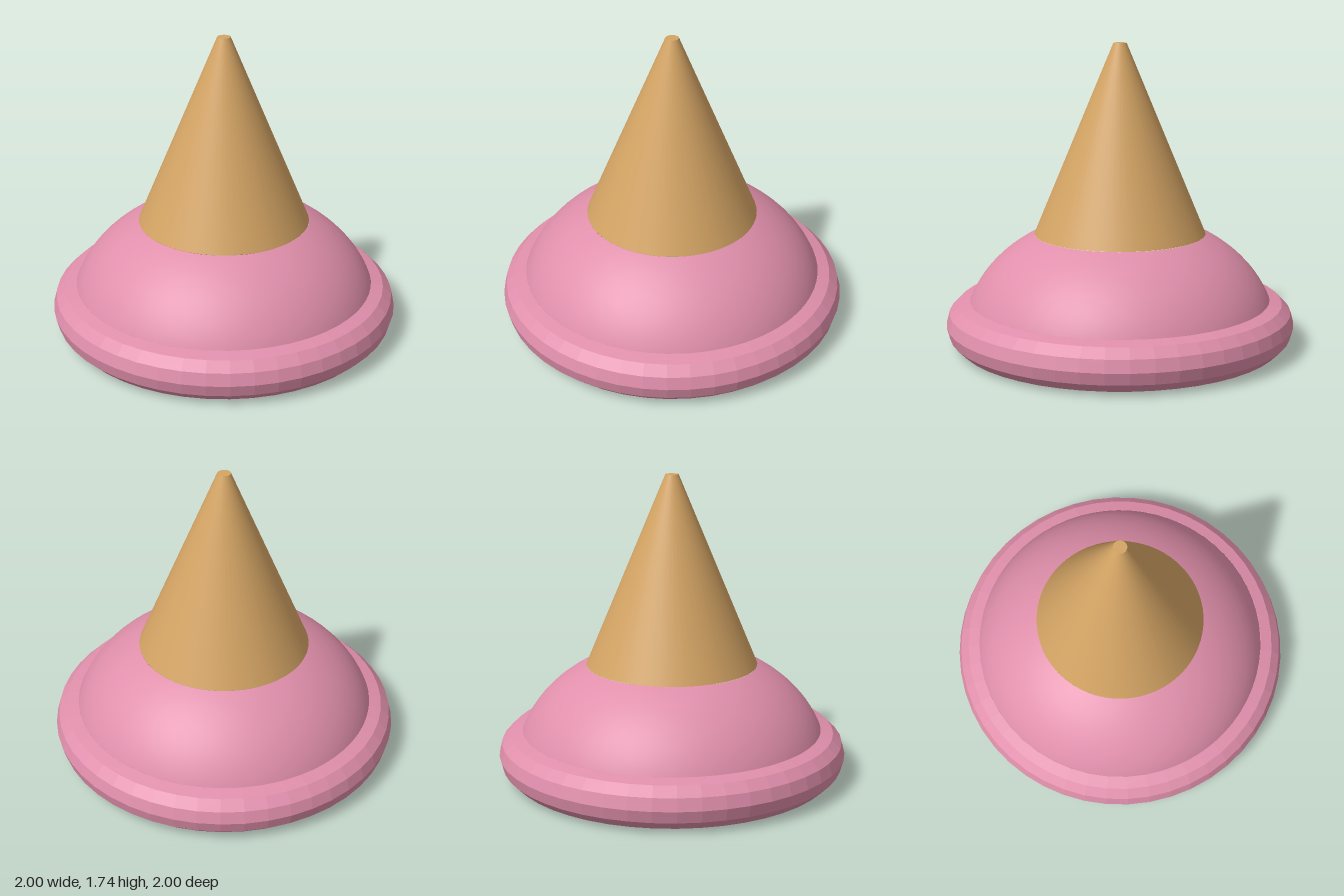
import * as THREE from 'three';

export function createModel() {
  const group = new THREE.Group();
  const pink = new THREE.MeshStandardMaterial({ color: 0xe08fab });
  pink.name = 'pink';
  const pinkFaceted = pink.clone();
  pinkFaceted.name = 'pink faceted';
  pinkFaceted.flatShading = true;
  const tan = new THREE.MeshStandardMaterial({ color: 0xd4a464 });
  tan.name = 'wafer tan';

  const add = (name, geometry, material, y) => {
    const mesh = new THREE.Mesh(geometry, material);
    mesh.name = name;
    mesh.position.y = y;
    group.add(mesh);
    return mesh;
  };

  // Faceted ring around the base
  const tube = 0.137;
  const ring = new THREE.TorusGeometry(1 - tube, tube, 12, 48).rotateX(-Math.PI / 2);
  add('baseRing', ring, pinkFaceted, tube);

  // Flattened scoop, cut off where the cone begins
  const baseY = 0.068, radius = 0.902, height = 0.692;
  const start = Math.asin(0.49 / radius);
  const dome = new THREE.SphereGeometry(
    1, 64, 24, 0, Math.PI * 2, start, Math.PI / 2 - start,
  ).scale(radius, height, radius);
  add('scoop', dome, pink, baseY);

  // Flat underside closing the scoop
  add('underside', new THREE.CircleGeometry(radius, 64).rotateX(Math.PI / 2), pink, baseY);

  // Upturned cone with a small flat tip
  const coneBottom = 0.65, coneTop = 1.735;
  const cone = new THREE.CylinderGeometry(0.037, 0.49, coneTop - coneBottom, 64);
  add('cone', cone, tan, (coneTop + coneBottom) / 2);

  return group;
}
